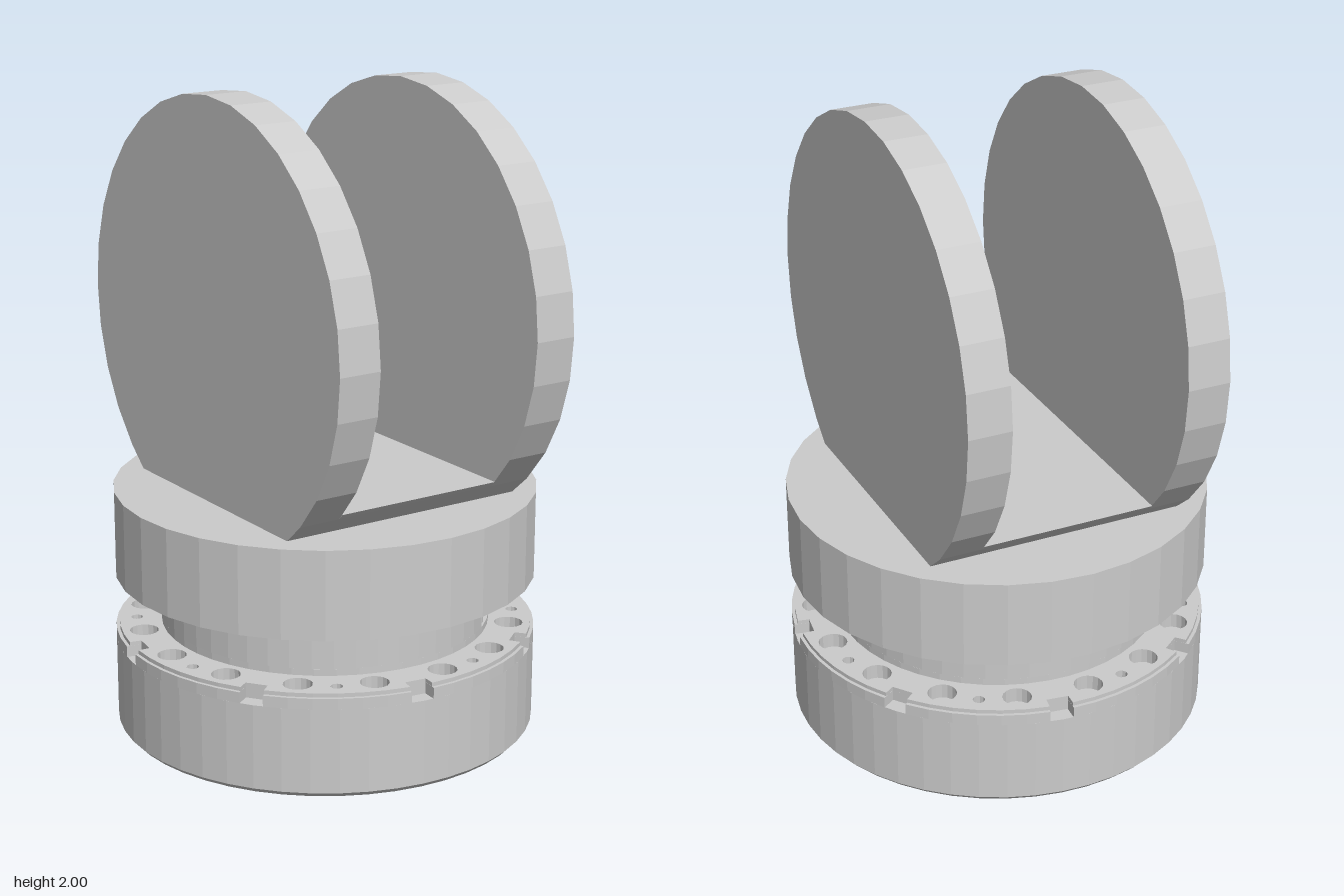
import * as THREE from 'three';

const grey = new THREE.MeshStandardMaterial({ color: 0xcccccc, flatShading: true });
const DEG = Math.PI / 180;

// Plan point at azimuth a (degrees, 0 = front, 90 = +x) and radius r
const plan = (a, r) => new THREE.Vector2(Math.sin(a * DEG) * r, -Math.cos(a * DEG) * r);

function arc(a0, a1, r, n) {
  return Array.from({ length: n + 1 }, (_, i) => plan(a0 + (a1 - a0) * i / n, r));
}

function circle(r, n = 48, a = 0, dist = 0) {
  const c = plan(a, dist);
  return arc(0, 360, r, n).slice(0, n).map(p => p.add(c));
}

function sector(a0, a1, rIn, rOut, n) {
  return [...arc(a0, a1, rOut, n), ...arc(a1, a0, rIn, n)];
}

// Circle with rectangular notches cut into its rim
function notchedCircle(r, count, start, width, depth, steps) {
  const pts = [], pitch = 360 / count;
  const h = Math.asin(width / 2 / r) / DEG;
  for (let k = 0; k < count; k++) {
    const c = start + k * pitch;
    pts.push(plan(c - h, r), plan(c - h, r - depth), plan(c + h, r - depth));
    pts.push(...arc(c + h, c + pitch - h, r, steps).slice(0, -1));
  }
  return pts;
}

function add(group, name, geometry) {
  const mesh = new THREE.Mesh(geometry, grey);
  mesh.name = name;
  group.add(mesh);
  return mesh;
}

// Horizontal slab between heights y0 and y1
function slab(group, name, outline, holes, y0, y1) {
  const shape = new THREE.Shape(outline);
  shape.holes = holes.map(h => new THREE.Path(h));
  const geo = new THREE.ExtrudeGeometry(shape, { depth: y1 - y0, bevelEnabled: false });
  geo.rotateX(-Math.PI / 2).translate(0, y0, 0);
  return add(group, name, geo);
}

function lathe(group, name, profile, n = 48) {
  return add(group, name, new THREE.LatheGeometry(profile.map(p => new THREE.Vector2(...p)), n));
}

function cylinder(group, name, r, y0, y1, x = 0, z = 0, n = 16) {
  const mesh = add(group, name, new THREE.CylinderGeometry(r, r, y1 - y0, n));
  mesh.position.set(x, (y0 + y1) / 2, z);
  return mesh;
}

// Slice of an upright disc between two heights, extruded along x
function discSlice(group, name, yLow, yHigh, x0, x1) {
  const r = 0.66, cy = 1.34;
  const low = Math.asin((yLow - cy) / r);
  const high = Math.asin(Math.min(1, (yHigh - cy) / r));
  const step = Math.PI / 16;
  const side = [low];
  for (let k = -8; k < 8; k++) {
    if (k * step > low + 0.01 && k * step < high - 0.01) side.push(k * step);
  }
  side.push(high);
  const right = side.map(t => new THREE.Vector2(Math.cos(t) * r, cy + Math.sin(t) * r));
  const left = right.map(p => new THREE.Vector2(-p.x, p.y)).reverse();
  if (yHigh >= cy + r) left.shift();
  const geo = new THREE.ExtrudeGeometry(new THREE.Shape([...right, ...left]),
    { depth: x1 - x0, bevelEnabled: false });
  geo.rotateY(Math.PI / 2).translate(x0, 0, 0);
  return add(group, name, geo);
}

export function createModel() {
  const model = new THREE.Group();
  model.name = 'swivelMount';
  const notchStart = -8;
  const eight = [...Array(8).keys()].map(k => notchStart + k * 45);

  // Base housing
  const base = new THREE.Group();
  base.name = 'base';
  model.add(base);
  lathe(base, 'baseBody', [[0, 0.115], [0.605, 0.115], [0.605, 0.075], [0.618, 0.075],
    [0.632, 0.09], [0.632, 0.345], [0, 0.345]]);

  // Shoulder ring: rim notches, large and small holes
  const shoulderHoles = [circle(0.47)];
  for (const a of eight) {
    shoulderHoles.push(circle(0.043, 16, a - 11.25, 0.557), circle(0.043, 16, a + 11.25, 0.557));
    shoulderHoles.push(circle(0.018, 10, a + 22.5, 0.57));
  }
  for (const [r, y0, y1] of [[0.632, 0.345, 0.378], [0.622, 0.378, 0.39]]) {
    slab(base, 'shoulderRing', notchedCircle(r, 8, notchStart, 0.07, r - 0.587, 6),
      shoulderHoles, y0, y1);
  }

  // Underside plate with eight pockets and bolt holes
  const underHoles = [];
  for (const a of eight) {
    underHoles.push(sector(a - 16, a + 16, 0.43, 0.565, 6));
    underHoles.push(circle(0.016, 10, a + 22.5, 0.575));
  }
  slab(base, 'undersidePlate', circle(0.605), underHoles, 0.08, 0.114);

  // Stepped flange with centre bore, dimples and three locating pins
  lathe(base, 'flange', [[0, 0.075], [0.05, 0.075], [0.05, 0.06], [0.27, 0.06],
    [0.27, 0.053], [0.38, 0.053], [0.4, 0.066], [0.4, 0.085]]);
  const dimples = [60, 180, 300].map(a => circle(0.02, 10, a, 0.18));
  slab(base, 'flangeFace', circle(0.275), [circle(0.09, 24), ...dimples], 0.045, 0.062);
  slab(base, 'boreRing', circle(0.075, 24), [circle(0.05, 24)], 0.05, 0.07);
  for (const a of [0, 120, 240]) {
    const p = plan(a, 0.18);
    cylinder(base, 'locatingPin', 0.026, 0, 0.06, p.x, -p.y);
  }

  // Neck with an open window
  const neck = new THREE.Group();
  neck.name = 'neck';
  model.add(neck);
  slab(neck, 'neckSill', circle(0.495), [], 0.34, 0.41);
  slab(neck, 'neckWall', sector(84, 396, 0.42, 0.495, 42), [], 0.41, 0.52);
  slab(neck, 'neckRim', notchedCircle(0.495, 6, 30, 0.06, 0.04, 8), [], 0.52, 0.55);
  cylinder(neck, 'neckCore', 0.28, 0.4, 0.53, 0, 0, 32);
  slab(neck, 'windowLedge', sector(65, 86, 0.27, 0.475, 4), [], 0.4, 0.44);
  const post = plan(41, 0.465);
  cylinder(neck, 'windowPost', 0.024, 0.4, 0.47, post.x, -post.y);

  // Turntable
  cylinder(model, 'turntable', 0.632, 0.55, 0.815, 0, 0, 32);

  // Fork: two upright discs joined by a low bridge
  const fork = new THREE.Group();
  fork.name = 'fork';
  model.add(fork);
  discSlice(fork, 'leftPlate', 0.815, 2, 0.265, 0.395);
  discSlice(fork, 'rightPlate', 0.815, 2, -0.395, -0.265);
  discSlice(fork, 'bridge', 0.815, 0.89, -0.265, 0.265);

  return model;
}
